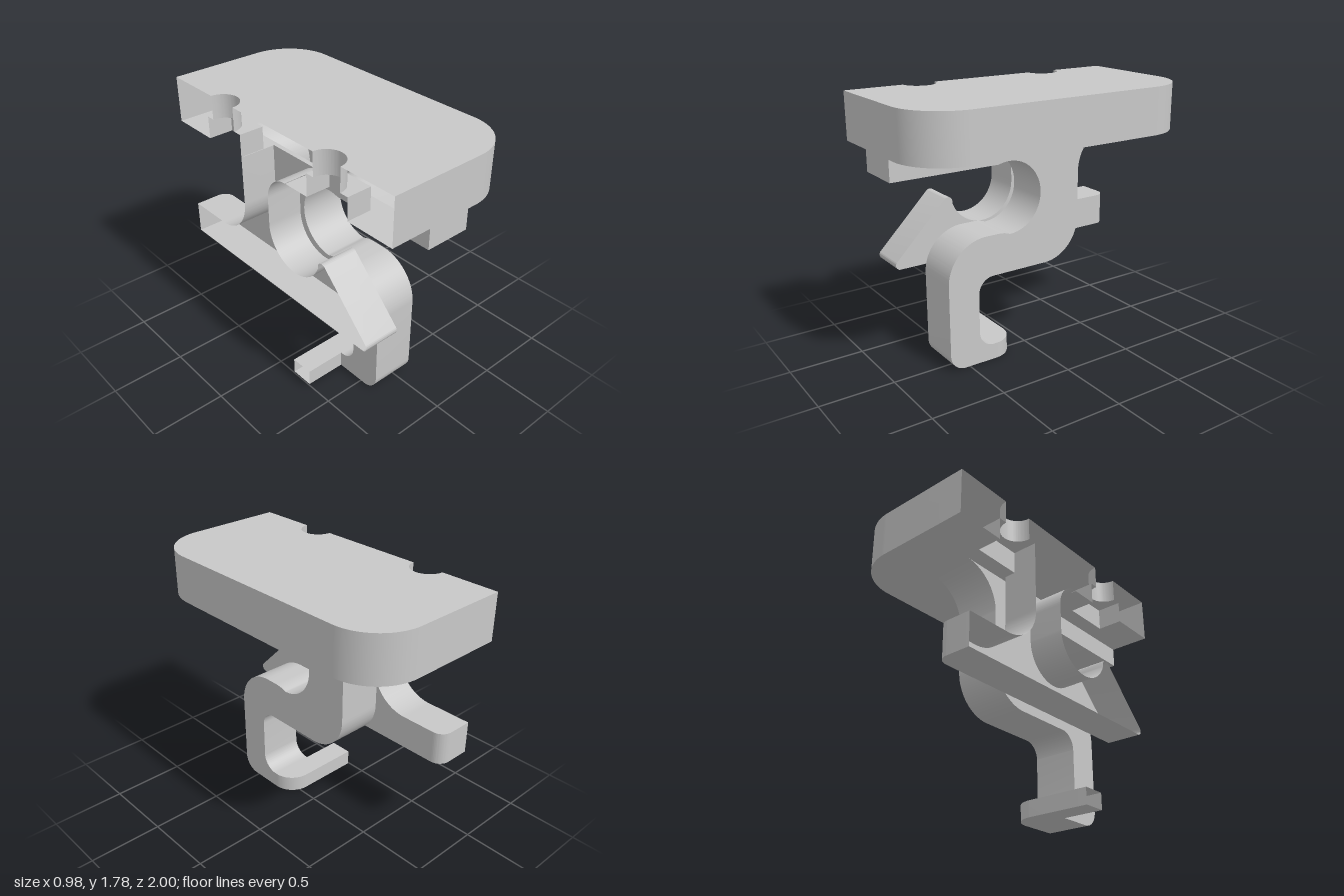
import * as THREE from 'three';
import { mergeGeometries, toCreasedNormals } from 'three/addons/utils/BufferGeometryUtils.js';

const PI = Math.PI;
const X0 = -0.492; // symmetry plane, where every part is left open
const UNDER = 1.468; // underside of the plate
const CEILING = 1.62; // top of the screw pockets
const TOP = 1.78;
const SCREW_Z = 0.486, SCREW_R = 0.113, POCKET = 0.171;
const STEM_X = [-0.21, 0.097];
const LEVER_X = -0.243;

// Remove the triangles lying in given [axis, value] planes: hidden joints and open ends
function openAt(geometry, ...planes) {
  const p = geometry.attributes.position;
  const kept = [];
  for (let i = 0; i < p.count; i += 3) {
    const corners = [i, i + 1, i + 2];
    const inPlane = ([axis, value]) =>
      corners.every((c) => Math.abs(p.getComponent(c, axis) - value) < 1e-4);
    if (planes.some(inPlane)) continue;
    for (const c of corners) kept.push(p.getX(c), p.getY(c), p.getZ(c));
  }
  const g = new THREE.BufferGeometry();
  g.setAttribute('position', new THREE.Float32BufferAttribute(kept, 3));
  return g;
}

const extrude = (shape, depth) =>
  new THREE.ExtrudeGeometry(shape, { depth, bevelEnabled: false, curveSegments: 24 });

// Side profile drawn in (z, y), spanning xMin to xMax
const sideways = (shape, xMin, xMax) =>
  extrude(shape, xMax - xMin).rotateY(-PI / 2).translate(xMax, 0, 0);

// Plan drawn in (x, -z), spanning yMin to yMax
const upright = (shape, yMin, yMax) =>
  extrude(shape, yMax - yMin).rotateX(-PI / 2).translate(0, yMin, 0);

// Flat sheet facing down, drawn in (x, z)
const sheet = (shape, y) =>
  openAt(new THREE.ShapeGeometry(shape, 24).toNonIndexed().rotateX(PI / 2).translate(0, y, 0));

// Plate outline with its cut edge running through the given recesses
function plateShape(cutRecesses) {
  const s = new THREE.Shape();
  const r = 0.33, x1 = 0.492;
  s.moveTo(X0, -1);
  s.lineTo(x1 - r, -1);
  s.absarc(x1 - r, -1 + r, r, -PI / 2, 0, false);
  s.absarc(x1 - r, 1 - r, r, 0, PI / 2, false);
  s.lineTo(X0, 1);
  cutRecesses(s);
  return s;
}

const roundNotch = (s, v) => s.absarc(X0, v, SCREW_R, PI / 2, -PI / 2, true);

function squareNotch(s, from, to, x) {
  s.lineTo(X0, from);
  s.lineTo(x, from);
  s.lineTo(x, to);
  s.lineTo(X0, to);
}

const pocketNotch = (s, v) => squareNotch(s, v + POCKET, v - POCKET, X0 + POCKET);

function plateGeometry() {
  const upper = plateShape((s) => [SCREW_Z, -SCREW_Z].forEach((v) => roundNotch(s, v)));
  const lower = plateShape((s) => [SCREW_Z, -SCREW_Z].forEach((v) => pocketNotch(s, v)));

  // Underside, open where the lever and the stem join it
  const under = plateShape((s) => {
    pocketNotch(s, SCREW_Z);
    squareNotch(s, 0.12, -0.31, LEVER_X);
    pocketNotch(s, -SCREW_Z);
  });
  const [a, b] = STEM_X;
  under.holes.push(new THREE.Path([[a, -0.638], [a, 0.998], [b, 0.998], [b, -0.638]]
    .map(([x, z]) => new THREE.Vector2(x, z))));

  // Pocket ceilings around the screw holes
  const ceilings = [SCREW_Z, -SCREW_Z].map((v) => {
    const s = new THREE.Shape();
    s.moveTo(X0, v - POCKET);
    s.lineTo(X0 + POCKET, v - POCKET);
    s.lineTo(X0 + POCKET, v + POCKET);
    s.lineTo(X0, v + POCKET);
    roundNotch(s, v);
    return sheet(s, CEILING);
  });

  return mergeGeometries([
    openAt(upright(upper, CEILING, TOP), [0, X0], [1, CEILING]),
    openAt(upright(lower, UNDER, CEILING), [0, X0], [1, CEILING], [1, UNDER]),
    sheet(under, UNDER),
    ...ceilings,
  ]);
}

function stemShape() {
  const s = new THREE.Shape();
  s.moveTo(1, UNDER);
  s.lineTo(1, 1.33);
  s.lineTo(0.26, 1.33);
  s.quadraticCurveTo(0.22, 1.342, 0.18, 1.342);
  s.absarc(0.18, 1.1, 0.242, PI / 2, PI * 1.5, false);
  s.quadraticCurveTo(0.22, 0.876, 0.27, 0.876);
  s.lineTo(0.36, 0.876);
  s.absarc(0.36, 0.596, 0.28, PI / 2, 0, true);
  s.absarc(0.53, 0.11, 0.11, 0, -PI / 2, true);
  s.lineTo(0.3, 0);
  s.lineTo(0.3, 0.11);
  s.absarc(0.31, 0.22, 0.11, -PI / 2, 0, false);
  s.absarc(0.31, 0.488, 0.11, 0, PI / 2, false);
  s.absarc(-0.1, 0.868, 0.27, -PI / 2, -PI, true);
  s.absarc(-0.64, 1.198, 0.27, 0, PI / 2, false);
  return s;
}

function leverShape() {
  const s = new THREE.Shape();
  s.moveTo(0.12, UNDER);
  s.absarc(0.12, UNDER - 0.18, 0.18, PI / 2, PI, false);
  s.absarc(0.18, 1.1, 0.24, PI, PI * 1.88, false);
  s.absarc(0.44, 1.03, 0.035, PI * 0.9, PI / 4, true);
  s.absarc(0.8, 0.672, 0.032, PI / 4, -PI / 2, true);
  s.lineTo(-0.82, 0.64);
  s.lineTo(-0.82, 0.862);
  s.lineTo(-0.585, 0.862);
  s.absarc(-0.585, 1.132, 0.27, -PI / 2, 0, false);
  s.lineTo(-0.315, UNDER);
  return s;
}

// Rounded end of the lever arm
function leverEndShape() {
  const s = new THREE.Shape();
  s.moveTo(X0, 0.82);
  s.lineTo(LEVER_X, 0.82);
  s.absarc(LEVER_X - 0.08, 0.825, 0.08, 0, PI / 2, false);
  s.lineTo(X0, 0.905);
  return s;
}

// Toe of the hook, turning towards the symmetry plane
function toeShape() {
  const s = new THREE.Shape();
  const r = 0.155, x1 = STEM_X[1];
  s.moveTo(X0, -0.3);
  s.lineTo(x1, -0.3);
  s.absarc(x1 - r, -0.14 - r, r, 0, PI / 2, false);
  s.lineTo(X0, -0.14);
  return s;
}

export function createModel() {
  const group = new THREE.Group();
  const grey = new THREE.MeshStandardMaterial({ color: 0xc8c8c8, side: THREE.DoubleSide });
  grey.name = 'plainGrey';

  const add = (name, geometry) => {
    const mesh = new THREE.Mesh(toCreasedNormals(geometry, 0.5), grey);
    mesh.name = name;
    group.add(mesh);
  };

  add('mountingPlate', plateGeometry());
  add('hookStem', openAt(sideways(stemShape(), ...STEM_X), [1, UNDER], [2, 0.3]));
  add('hookToe', openAt(upright(toeShape(), 0, 0.11), [0, X0]));
  add('lever', openAt(sideways(leverShape(), X0, LEVER_X), [0, X0], [1, UNDER], [2, -0.82]));
  add('leverEnd', openAt(upright(leverEndShape(), 0.64, 0.862), [0, X0], [2, -0.82]));
  return group;
}
